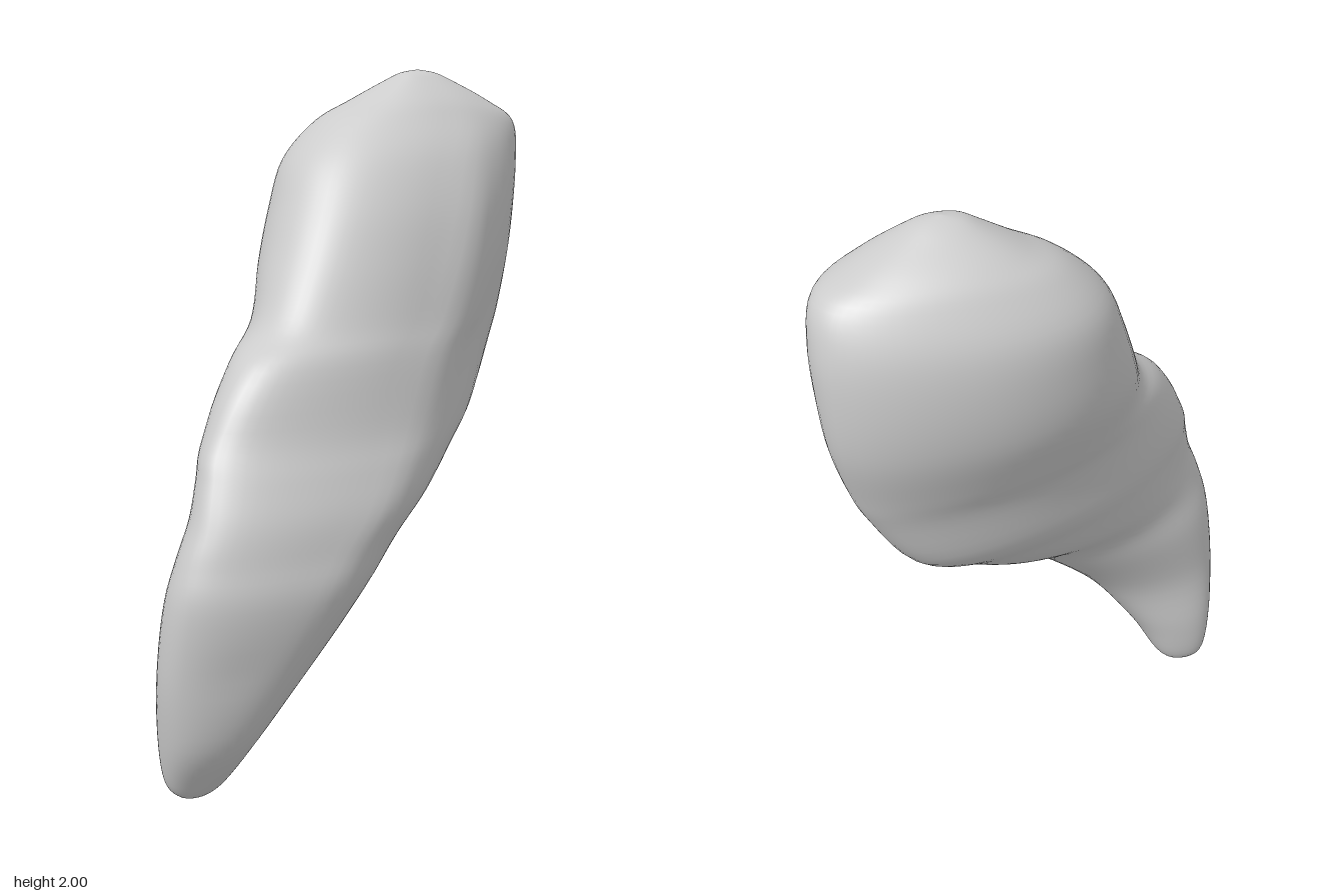
import * as THREE from 'three';

// Horizontal cross-sections: height, left x, right x, back z, front z,
// then the diagonal slant of the front half and of the back half
const SECTIONS = [
  [0, -0.55, -0.55, 0.225, 0.225, 0, 0],
  [0.012, -0.595, -0.51, 0.19, 0.265, 0, 0],
  [0.06, -0.632, -0.455, 0.157, 0.31, 0, 0],
  [0.2, -0.655, -0.37, 0.14, 0.40, 0.02, -0.05],
  [0.4, -0.665, -0.22, 0.13, 0.455, 0, -0.25],
  [0.6, -0.648, -0.04, 0.05, 0.488, -0.15, -0.45],
  [0.72, -0.615, 0.08, -0.02, 0.475, -0.26, -0.6],
  [0.82, -0.575, 0.22, -0.14, 0.457, -0.38, -0.69],
  [0.92, -0.548, 0.34, -0.24, 0.42, -0.47, -0.74],
  [1.02, -0.525, 0.46, -0.335, 0.38, -0.56, -0.76],
  [1.2, -0.415, 0.56, -0.385, 0.32, -0.65, -0.65],
  [1.3, -0.31, 0.60, -0.42, 0.25, -0.63, -0.47],
  [1.45, -0.245, 0.64, -0.47, 0.18, -0.58, -0.27],
  [1.6, -0.185, 0.658, -0.487, 0.11, -0.51, -0.14],
  [1.74, -0.12, 0.663, -0.475, 0.03, -0.42, -0.03],
  [1.85, -0.01, 0.64, -0.425, -0.055, -0.28, 0],
  [1.91, 0.1, 0.54, -0.375, -0.10, -0.12, 0],
  [1.965, 0.2, 0.42, -0.295, -0.15, 0, 0],
  [1.99, 0.25, 0.36, -0.25, -0.18, 0, 0],
  [2, 0.305, 0.305, -0.22, -0.22, 0, 0],
];

// Shallow folds and ridges: angle, height, angular width, height width, depth
const DENTS = [
  [1.0, 1.45, 0.3, 0.35, -0.07],
  [1.0, 0.75, 0.35, 0.25, -0.04],
  [0.2, 1.22, 0.3, 0.2, 0.06],
  [2.6, 1.02, 0.4, 0.07, 0.02],
  [1.9, 0.42, 0.5, 0.06, 0.02],
  [4.3, 1.08, 0.6, 0.07, 0.02],
  [3.9, 0.78, 0.6, 0.08, 0.02],
  [5.2, 0.95, 0.5, 0.07, 0.02],
];

// Smooth interpolation between neighbouring cross-sections
function sectionAt(u) {
  const last = SECTIONS.length - 1;
  const i = Math.min(Math.floor(u), last - 1);
  const f = u - i;
  const at = k => SECTIONS[Math.max(0, Math.min(last, k))];
  const [p, q, r, s] = [at(i - 1), at(i), at(i + 1), at(i + 2)];
  return q.map((v, k) => {
    const m0 = (r[k] - p[k]) / 2, m1 = (s[k] - v) / 2;
    return v + f * m0 + f * f * (3 * (r[k] - v) - 2 * m0 - m1)
      + f * f * f * (2 * (v - r[k]) + m0 + m1);
  });
}

function dentScale(t, y) {
  let scale = 1;
  for (const [angle, height, wa, wy, depth] of DENTS) {
    const d = Math.atan2(Math.sin(t - angle), Math.cos(t - angle)) / wa;
    const h = (y - height) / wy;
    scale -= depth * Math.exp(-d * d - h * h);
  }
  return scale;
}

// Slanted oval in a unit box; its front and back halves have their own
// thickness, and its corners are slightly filled out
function slantedOval(t, slantFront, slantBack) {
  const long = Math.sqrt(1 - (slantFront + slantBack) / 2);
  const front = Math.sqrt(1 + slantFront), back = Math.sqrt(1 + slantBack);
  const across = Math.sin(t) * (Math.sin(t) > 0 ? front : back);
  const along = Math.cos(t) * long;
  const fit = v => {
    const w = v / Math.hypot(long, v > 0 ? front : back);
    return w * (1.1 - 0.1 * w * w);
  };
  return [fit(along + across), fit(across - along)];
}

function bodyGeometry(around = 64, steps = 5) {
  const rows = (SECTIONS.length - 1) * steps;
  const positions = [], index = [];
  for (let j = 0; j <= rows; j++) {
    const [y, xl, xr, zb, zf, slantFront, slantBack] = sectionAt(j / steps);
    const cx = (xl + xr) / 2, cz = (zb + zf) / 2;
    const a = (xr - xl) / 2, b = (zf - zb) / 2;
    for (let i = 0; i < around; i++) {
      const [ox, oz] = slantedOval((i / around) * Math.PI * 2, slantFront, slantBack);
      const dx = a * ox, dz = b * oz;
      const s = dentScale(Math.atan2(dz, dx), y);
      positions.push(cx + dx * s, Math.max(0, Math.min(2, y)), cz + dz * s);
      if (j < rows) {
        const p = j * around + i, n = j * around + (i + 1) % around;
        // the end rings are single points, so one triangle per cell closes them
        if (j < rows - 1) index.push(p, p + around, n + around);
        if (j > 0) index.push(p, n + around, n);
      }
    }
  }
  const geometry = new THREE.BufferGeometry();
  geometry.setAttribute('position', new THREE.Float32BufferAttribute(positions, 3));
  geometry.setIndex(index);
  geometry.computeVertexNormals();
  return geometry;
}

export function createModel() {
  const group = new THREE.Group();
  group.name = 'curvedOrgan';
  const body = new THREE.Mesh(bodyGeometry(), new THREE.MeshStandardMaterial({ color: 0xcccccc }));
  body.name = 'body';
  group.add(body);
  return group;
}
